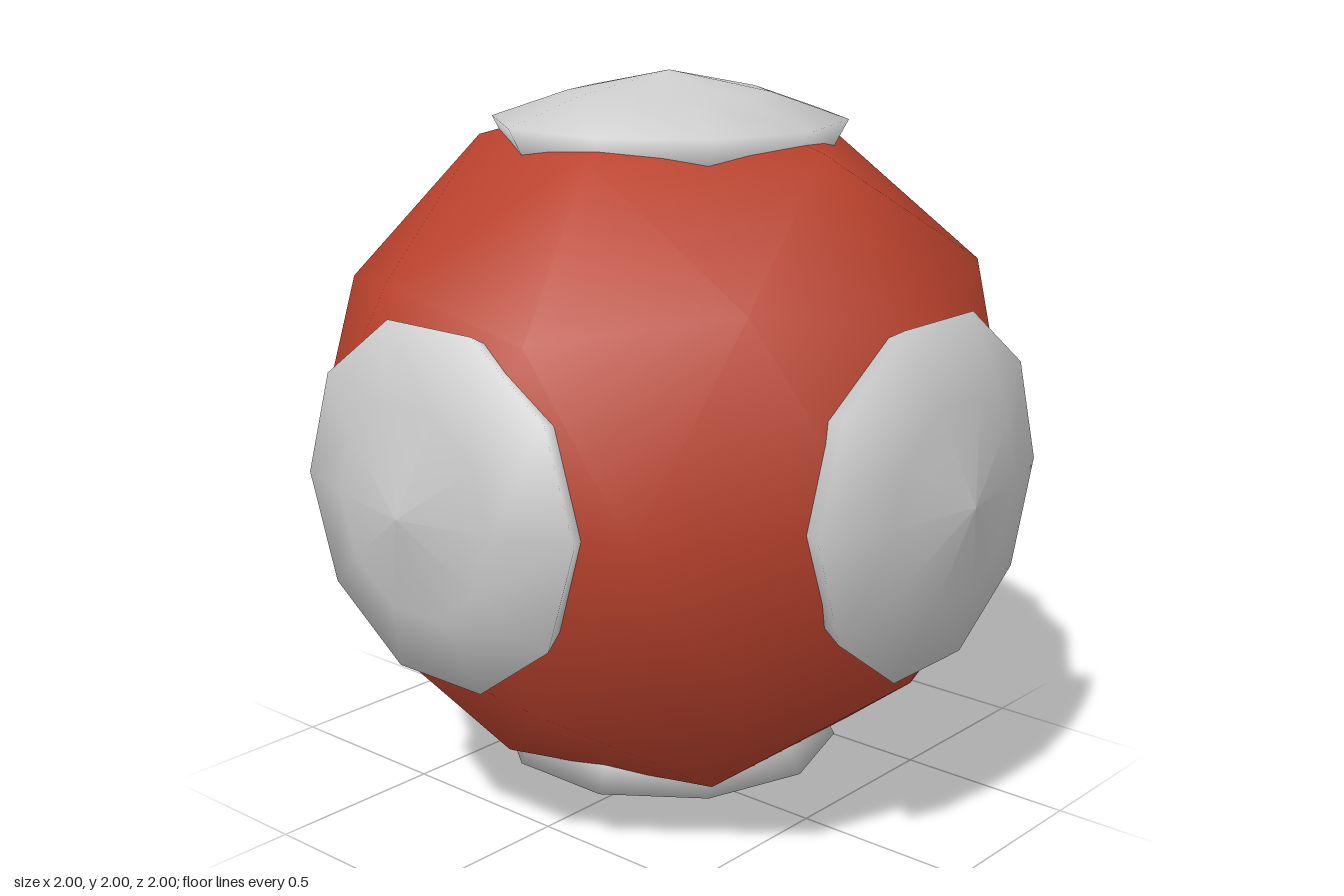
import * as THREE from 'three';

export function createModel() {
  const model = new THREE.Group();
  const red = new THREE.MeshStandardMaterial({ color: 0xba422d });
  const grey = new THREE.MeshStandardMaterial({ color: 0xcccccc });

  // Ball: once-divided icosahedron, smooth shaded, turned so a vertex sits at each pole
  const ballGeometry = new THREE.IcosahedronGeometry(0.97, 1);
  ballGeometry.rotateZ(-Math.atan(2 / (1 + Math.sqrt(5))));
  const ball = new THREE.Mesh(ballGeometry, red);
  ball.name = 'ball';
  ball.position.y = 1;
  model.add(ball);

  // Pad: ten-sided shallow dome whose wall tapers in towards the ball's centre
  const profile = [[0.43, 0.79], [0.475, 0.875], [0.27, 0.945], [0, 1]]
    .map(([r, h]) => new THREE.Vector2(r, h));
  const padGeometry = new THREE.LatheGeometry(profile, 10, Math.PI / 2);

  // One pad on each of the six axes: [name, pitch, yaw] in quarter turns
  const pads = [
    ['topPad', 0, 0], ['bottomPad', 2, 0],
    ['frontPad', 1, 0], ['leftPad', 1, 1], ['backPad', 1, 2], ['rightPad', 1, 3],
  ];
  for (const [name, pitch, yaw] of pads) {
    const pad = new THREE.Mesh(padGeometry, grey);
    pad.name = name;
    pad.position.y = 1;
    pad.rotation.set(pitch * Math.PI / 2, yaw * Math.PI / 2, 0, 'YXZ');
    model.add(pad);
  }
  return model;
}
